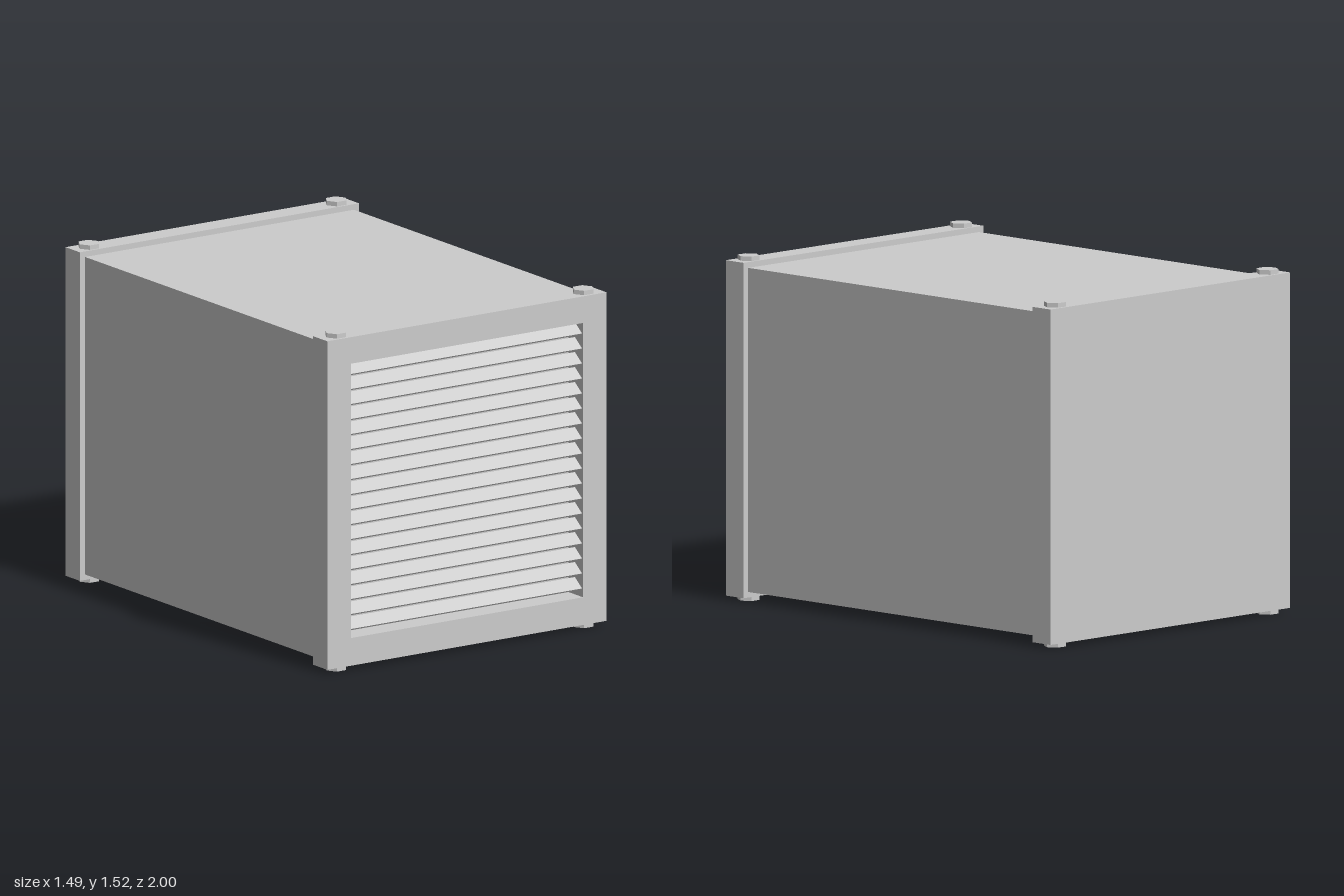
import * as THREE from 'three';

const material = new THREE.MeshStandardMaterial({ color: 0xcccccc, flatShading: true });

const W = 0.745, BOTTOM = 0.02, TOP = 1.505; // end frame extents
const DEPTH = 0.11;
const OPEN = { x: 0.62, y0: 0.145, y1: 1.385 };
const SLATS = 18;

function add(parent, name, geometry, x = 0, y = 0, z = 0) {
  const mesh = new THREE.Mesh(geometry, material);
  mesh.name = name;
  mesh.position.set(x, y, z);
  parent.add(mesh);
  return mesh;
}

function rectangle(path, x, y0, y1) {
  path.moveTo(-x, y0);
  path.lineTo(x, y0);
  path.lineTo(x, y1);
  path.lineTo(-x, y1);
  path.closePath();
  return path;
}

export function createModel() {
  const model = new THREE.Group();
  model.name = 'louveredCabinet';

  // Main casing
  add(model, 'casing', new THREE.BoxGeometry(1.435, 1.435, 1.78), 0, 0.7625, 0);

  // Solid rear panel
  add(model, 'rearPanel', new THREE.BoxGeometry(2 * W, TOP - BOTTOM, DEPTH),
    0, (TOP + BOTTOM) / 2, -1 + DEPTH / 2);

  // Front frame with a square opening
  const outline = rectangle(new THREE.Shape(), W, BOTTOM, TOP);
  outline.holes.push(rectangle(new THREE.Path(), OPEN.x, OPEN.y0, OPEN.y1));
  add(model, 'frontFrame',
    new THREE.ExtrudeGeometry(outline, { depth: DEPTH, bevelEnabled: false }), 0, 0, 1 - DEPTH);

  // Louver slats sloping down towards the front
  const louvers = new THREE.Group();
  louvers.name = 'louvers';
  model.add(louvers);
  const slat = new THREE.BoxGeometry(2 * OPEN.x, 0.008, 0.068);
  for (let i = 0; i < SLATS; i++) {
    const y = 0.2 + i * 0.0678;
    add(louvers, 'slat', slat, 0, y, 0.962).rotation.x = Math.PI * 0.2;
  }

  // Hexagonal bolt heads above and below each frame corner
  const bolts = new THREE.Group();
  bolts.name = 'bolts';
  model.add(bolts);
  const head = new THREE.CylinderGeometry(0.05, 0.05, 0.02, 6).rotateY(Math.PI / 6);
  for (const x of [-0.66, 0.66]) {
    for (const z of [-0.943, 0.943]) {
      add(bolts, 'topBolt', head, x, TOP + 0.01, z);
      add(bolts, 'bottomBolt', head, x, BOTTOM - 0.01, z);
    }
  }

  return model;
}
